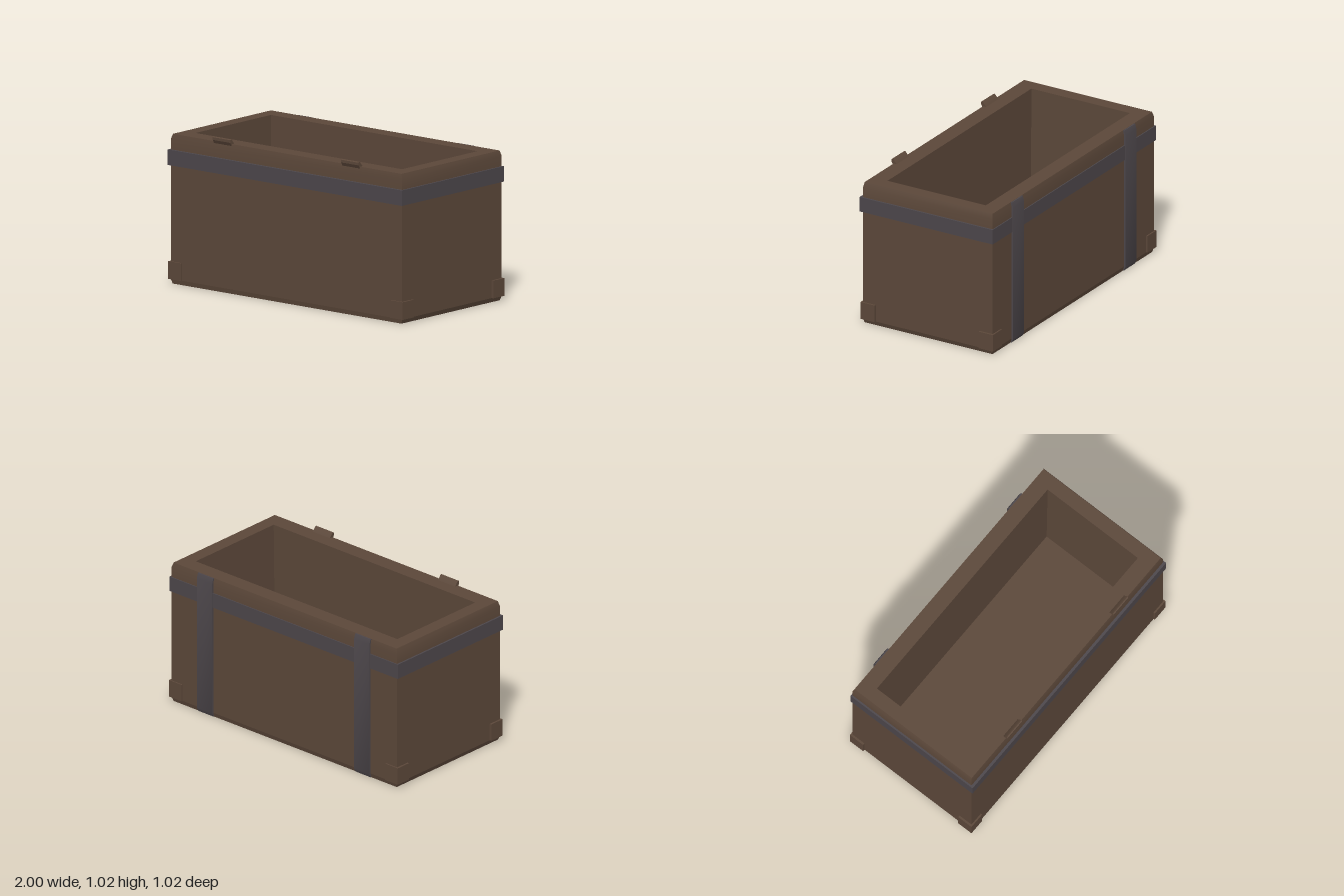
import * as THREE from 'three';
import { toCreasedNormals } from 'three/addons/utils/BufferGeometryUtils.js';

// Lofts rectangular rings [halfX, zBack, zFront, y] into one open skin.
function loftRings(rings) {
  const corners = rings.map(([x, zb, zf, y]) => [[x, y, zf], [x, y, zb], [-x, y, zb], [-x, y, zf]]);
  const pos = [];
  for (let i = 0; i < corners.length - 1; i++) {
    for (let k = 0; k < 4; k++) {
      const n = (k + 1) % 4;
      const a = corners[i][k], b = corners[i][n], c = corners[i + 1][n], d = corners[i + 1][k];
      pos.push(...a, ...b, ...c, ...a, ...c, ...d);
    }
  }
  const geo = new THREE.BufferGeometry();
  geo.setAttribute('position', new THREE.Float32BufferAttribute(pos, 3));
  return toCreasedNormals(geo, 0.7);
}

// Extrudes a (z, y) side profile along x, centred on the given x.
function sideProfile(points, width, x) {
  const shape = new THREE.Shape(points.map(([z, y]) => new THREE.Vector2(-z, y)));
  const geo = new THREE.ExtrudeGeometry(shape, { depth: width, bevelEnabled: false });
  return toCreasedNormals(geo.translate(0, 0, -width / 2).rotateY(Math.PI / 2).translate(x, 0, 0), 0.5);
}

// Upright L-shaped corner plate; sx and sz give the corner's direction.
function cornerPlate(sx, sz, outerZ) {
  const x = 1, t = 0.022, w = 0.11;
  const outline = [
    [x, outerZ], [x - w, outerZ], [x - w, outerZ - t], [x - t, outerZ - t], [x - t, outerZ - w], [x, outerZ - w],
  ];
  const shape = new THREE.Shape(outline.map(([px, pz]) => new THREE.Vector2(sx * px, -sz * pz)));
  const geo = new THREE.ExtrudeGeometry(shape, { depth: 0.117, bevelEnabled: false });
  return geo.rotateX(-Math.PI / 2).translate(0, 0.03, 0);
}

export function createModel() {
  const group = new THREE.Group();
  const wood = new THREE.MeshStandardMaterial({ color: 0x5b4739, side: THREE.DoubleSide });
  wood.name = 'brown wood';
  const iron = new THREE.MeshStandardMaterial({ color: 0x4c464a });
  iron.name = 'grey iron';

  const add = (name, geo, mat) => {
    const mesh = new THREE.Mesh(geo, mat);
    mesh.name = name;
    group.add(mesh);
  };
  // Box given by its minimum and maximum corners
  const addBox = (name, mat, [x0, y0, z0], [x1, y1, z1]) => {
    const geo = new THREE.BoxGeometry(x1 - x0, y1 - y0, z1 - z0);
    add(name, geo.translate((x0 + x1) / 2, (y0 + y1) / 2, (z0 + z1) / 2), mat);
  };

  // Tapered bottom edge, open underneath
  add('baseEdge', loftRings([
    [0.975, -0.49, 0.486, 0],
    [0.986, -0.498, 0.492, 0.03],
  ]), wood);

  // Outer walls with a softened top, the flat rim and the inner walls
  const floorY = 0.13;
  add('chestBody', loftRings([
    [0.986, -0.498, 0.492, 0.03],
    [0.986, -0.498, 0.492, 0.86],
    [0.986, -0.498, 0.492, 0.955],
    [0.974, -0.49, 0.485, 0.99],
    [0.88, -0.38, 0.37, 0.99],
    [0.868, -0.379, 0.369, floorY],
  ]), wood);

  // Floor of the inner box
  const floor = new THREE.PlaneGeometry(1.736, 0.748).rotateX(-Math.PI / 2);
  add('floor', floor.translate(0, floorY, -0.005), wood);

  // Iron band around the upper walls
  const y0 = 0.785, y1 = 0.887;
  addBox('frontBand', iron, [-0.998, y0, 0.485], [0.998, y1, 0.51]);
  addBox('backBand', iron, [-0.998, y0, -0.505], [0.998, y1, -0.485]);

  for (const s of [1, -1]) {
    const side = s > 0 ? 'left' : 'right';
    const [a, b] = s > 0 ? [0.975, 0.998] : [-0.998, -0.975];
    addBox(side + 'Band', iron, [a, y0, -0.485], [b, y1, 0.485]);

    // Upright strap on the back
    add(side + 'BackStrap', sideProfile([
      [-0.486, 0.002], [-0.497, 0.002], [-0.51, 0.03], [-0.51, 0.955], [-0.499, 0.989], [-0.486, 0.989],
    ], 0.134, s * 0.687), iron);

    // Slanted clasp on the front rim
    add(side + 'Clasp', sideProfile([
      [0.5, 1.018], [0.493, 1.022], [0.484, 1.017], [0.458, 0.985], [0.485, 0.973], [0.5, 1.0],
    ], 0.15, s * 0.547), wood);

    // Corner plates near the ground
    add(side + 'FrontCorner', cornerPlate(s, 1, 0.503), wood);
    add(side + 'BackCorner', cornerPlate(s, -1, 0.508), wood);
  }
  return group;
}
